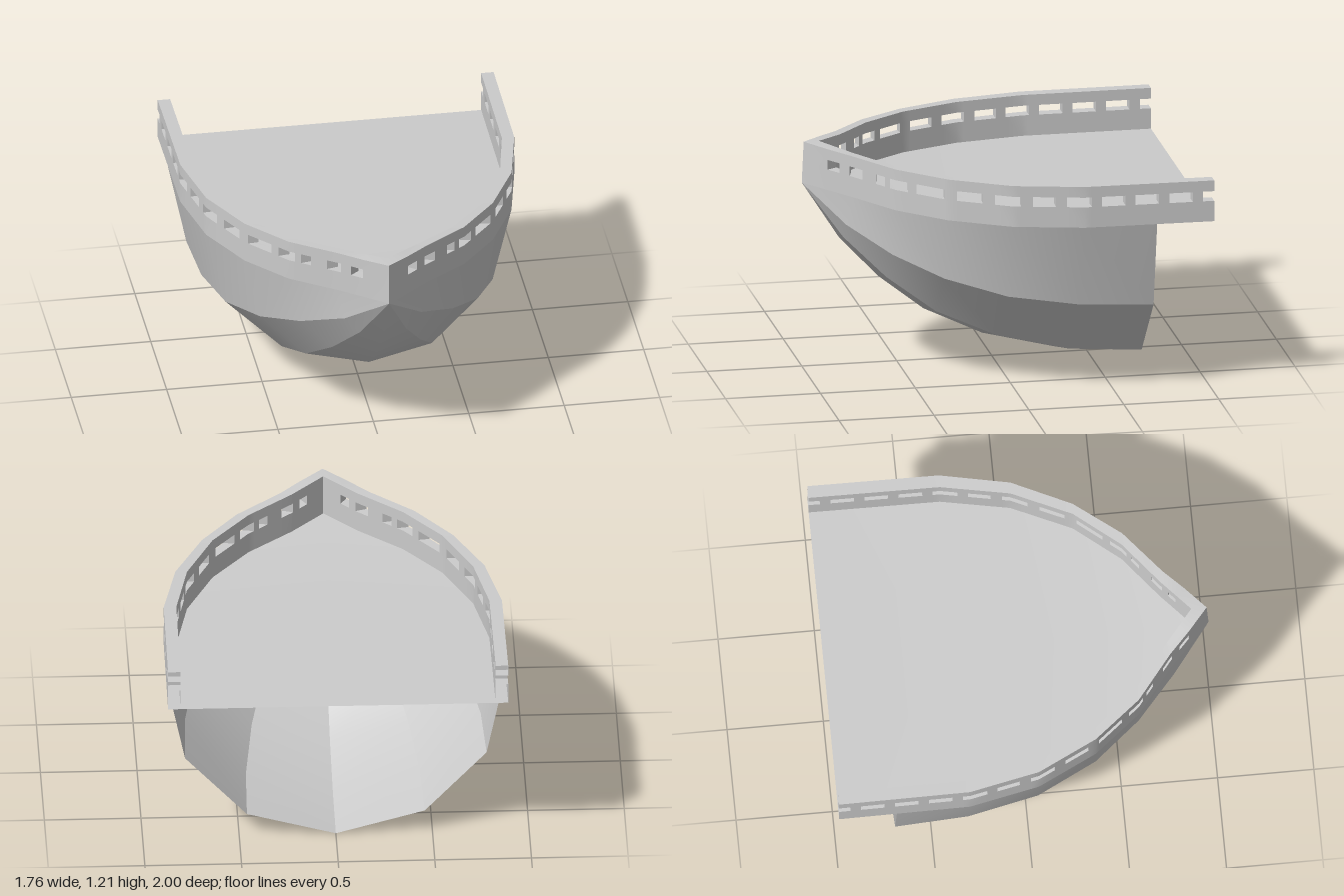
import * as THREE from 'three';
import { toCreasedNormals } from 'three/addons/utils/BufferGeometryUtils.js';

// Plan stations, bow to stern: z, outer half-width, inner z, inner half-width, rail height
const PLAN = [
  [1.0, 0, 0.91, 0, 1.215],
  [0.78, 0.23, 0.765, 0.17, 1.192],
  [0.595, 0.46, 0.585, 0.4, 1.177],
  [0.355, 0.65, 0.35, 0.595, 1.165],
  [0.045, 0.8, 0.04, 0.74, 1.156],
  [-0.32, 0.875, -0.32, 0.81, 1.152],
  [-1.0, 0.88, -1.0, 0.815, 1.15],
];
const SHEER = 0.22, HOLE_LOW = 0.11, HOLE_HIGH = 0.058;

// Hull ribs, bow to stern: z, upper chine x y, lower chine x y, keel y
const RIBS = [
  [1.0, 0, 0.995, 0, 0.995, 0.995],
  [0.805, 0.2, 0.815, 0.12, 0.725, 0.69],
  [0.6, 0.4, 0.7, 0.23, 0.53, 0.47],
  [0.36, 0.57, 0.607, 0.33, 0.362, 0.28],
  [0.05, 0.7, 0.53, 0.405, 0.235, 0.13],
  [-0.32, 0.765, 0.485, 0.45, 0.155, 0.037],
  [-0.7, 0.78, 0.468, 0.46, 0.13, 0.005],
];

// Openings in the bulwark, as z ranges
const HOLES = [
  [0.887, 0.834], [0.791, 0.737], [0.678, 0.641], [0.619, 0.539], [0.501, 0.373],
  [0.314, 0.19], [0.131, 0.003], [-0.056, -0.174], [-0.228, -0.357],
  [-0.41, -0.534], [-0.587, -0.71], [-0.764, -0.887], [-0.941, -1],
];

// Plan values interpolated at a given z
function planAt(z) {
  let i = 0;
  while (i < PLAN.length - 2 && z < PLAN[i + 1][0]) i++;
  const a = PLAN[i], b = PLAN[i + 1];
  const t = (z - a[0]) / (b[0] - a[0]);
  return a.map((v, k) => v + (b[k] - v) * t);
}

// Collects quads for the left side and mirrors them to the right
function mirroredSurface(name, crease, build) {
  const pos = [];
  const tri = (a, b, c) => {
    const area = new THREE.Triangle(a, b, c).getArea();
    if (area < 1e-7) return;
    for (const p of [a, b, c]) pos.push(p.x, p.y, p.z);
    for (const p of [a, c, b]) pos.push(-p.x, p.y, p.z);
  };
  build((a, b, c, d) => { tri(a, b, c); tri(a, c, d); });
  let geo = new THREE.BufferGeometry();
  geo.setAttribute('position', new THREE.Float32BufferAttribute(pos, 3));
  geo = toCreasedNormals(geo, crease);
  const mat = new THREE.MeshStandardMaterial({ color: 0xcccccc, side: THREE.DoubleSide });
  const mesh = new THREE.Mesh(geo, mat);
  mesh.name = name;
  return mesh;
}

const V = (x, y, z) => new THREE.Vector3(x, y, z);

// Faceted shell, open at the stern
function makeHull() {
  const rows = RIBS.map(([z, ux, uy, lx, ly, ky], i) => {
    const sheer = planAt(i < 6 ? PLAN[i][0] : z);
    return [V(sheer[1], sheer[4] - SHEER, sheer[0]), V(ux, uy, z), V(lx, ly, z), V(0, ky, z)];
  });
  return mirroredSurface('hull', 0.3, quad => {
    for (let i = 0; i < rows.length - 1; i++)
      for (let j = 0; j < 3; j++)
        quad(rows[i][j], rows[i][j + 1], rows[i + 1][j + 1], rows[i + 1][j]);
  });
}

// Deck sheet following the sheer line
function makeDeck() {
  return mirroredSurface('deck', 0.3, quad => {
    for (let i = 0; i < PLAN.length - 1; i++) {
      const [a, b] = [PLAN[i], PLAN[i + 1]];
      const ya = a[4] - SHEER, yb = b[4] - SHEER;
      quad(V(0, ya, a[0]), V(a[1], ya, a[0]), V(b[1], yb, b[0]), V(0, yb, b[0]));
    }
  });
}

// Thick bulwark with rectangular openings, its stern ends left open
function makeBulwark() {
  const zs = [...new Set([...PLAN.map(p => p[0]), ...HOLES.flat()])].sort((a, b) => b - a);
  const inHole = z => HOLES.some(([f, b]) => z < f && z > b);
  const section = z => {
    const [oz, ox, iz, ix, top] = planAt(z);
    const rake = z === 1 ? 0.01 : 0;
    const ys = [top, top - HOLE_HIGH, top - HOLE_LOW, top - SHEER];
    return {
      out: ys.map(y => V(ox, y, oz - rake * (y - top + SHEER) / SHEER)),
      inn: ys.map(y => V(ix, y, iz)),
    };
  };
  return mirroredSurface('bulwark', 0.3, quad => {
    for (let i = 0; i < zs.length - 1; i++) {
      const a = section(zs[i]), b = section(zs[i + 1]);
      const open = inHole((zs[i] + zs[i + 1]) / 2);
      for (let j = 0; j < 3; j++) {
        if (open && j === 1) continue;
        quad(a.out[j], a.out[j + 1], b.out[j + 1], b.out[j]);
        quad(a.inn[j], b.inn[j], b.inn[j + 1], a.inn[j + 1]);
      }
      // rail cap, then lintel and sill of an opening
      quad(a.inn[0], a.out[0], b.out[0], b.inn[0]);
      if (open) {
        quad(a.out[1], a.inn[1], b.inn[1], b.out[1]);
        quad(a.inn[2], a.out[2], b.out[2], b.inn[2]);
      }
    }
    // jambs
    for (const [front, back] of HOLES) {
      const f = section(front), b = section(back);
      quad(f.out[1], f.inn[1], f.inn[2], f.out[2]);
      if (back > -1) quad(b.out[1], b.out[2], b.inn[2], b.inn[1]);
    }
  });
}

export function createModel() {
  const group = new THREE.Group();
  group.name = 'shipBow';
  group.add(makeHull(), makeDeck(), makeBulwark());
  return group;
}
